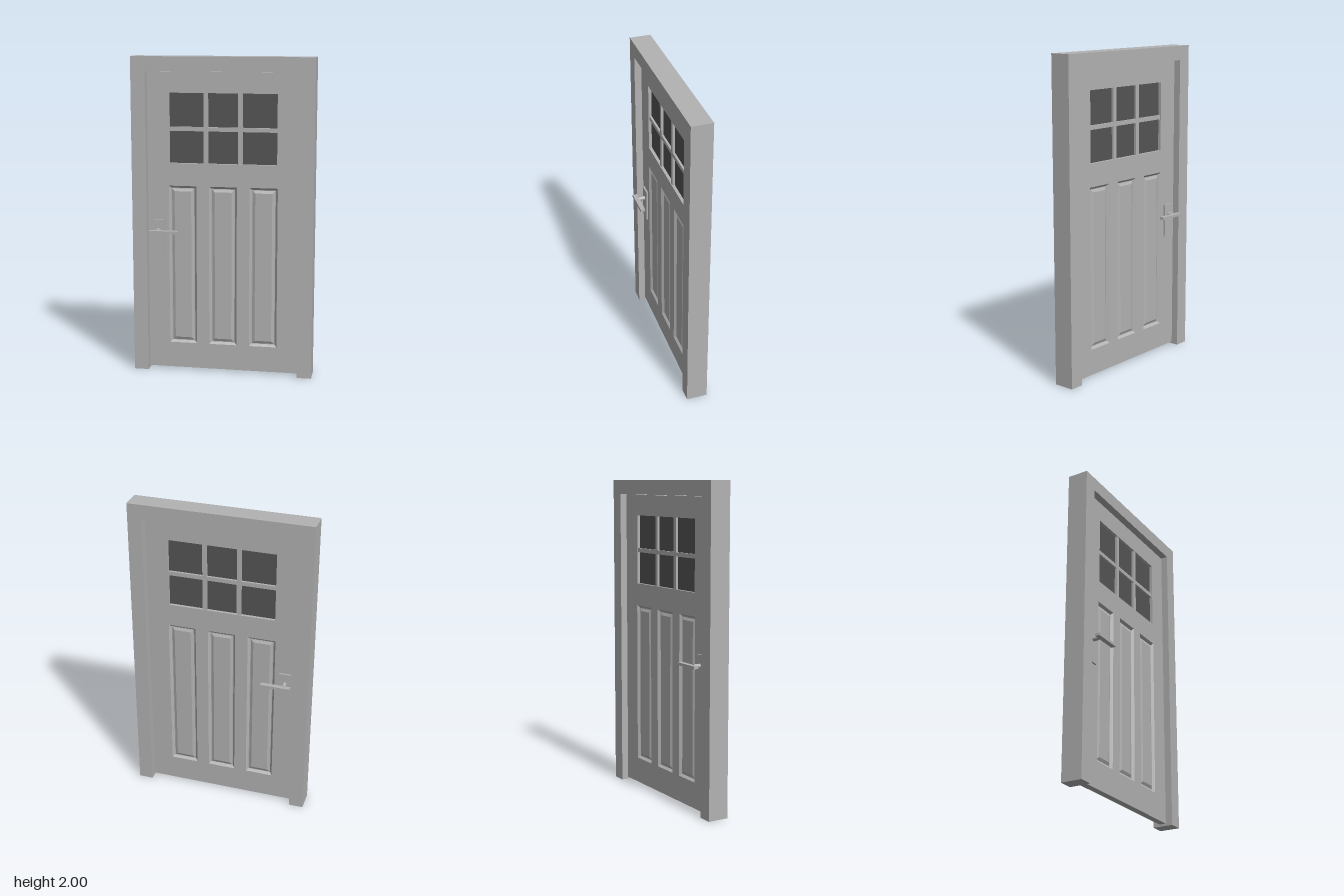
import * as THREE from 'three';

const mat = (name, color, extra = {}) => {
  const m = new THREE.MeshStandardMaterial({ color, ...extra });
  m.name = name;
  return m;
};

// Rectangle outline as a Shape or a Path (for holes)
function rect(x0, y0, x1, y1, Type = THREE.Path) {
  const p = new Type();
  p.moveTo(x0, y0).lineTo(x1, y0).lineTo(x1, y1).lineTo(x0, y1).closePath();
  return p;
}

// Extrusion centred on z = 0
function slab(shape, depth) {
  return new THREE.ExtrudeGeometry(shape, { depth, bevelEnabled: false }).translate(0, 0, -depth / 2);
}

// Moulded panel facing +z: nested rectangles [inset, z], closed by a flat field
function panelGeometry(w, h, steps) {
  const pos = [];
  const rings = steps.map(([i, z]) => {
    const x = w / 2 - i, y = h / 2 - i;
    return [[-x, -y, z], [x, -y, z], [x, y, z], [-x, y, z]];
  });
  const quad = (a, b, c, d) => pos.push(...a, ...b, ...c, ...a, ...c, ...d);
  for (let r = 0; r < rings.length - 1; r++) {
    for (let k = 0; k < 4; k++) {
      const n = (k + 1) % 4;
      quad(rings[r][k], rings[r][n], rings[r + 1][n], rings[r + 1][k]);
    }
  }
  quad(...rings[rings.length - 1]);
  const g = new THREE.BufferGeometry();
  g.setAttribute('position', new THREE.Float32BufferAttribute(pos, 3));
  g.computeVertexNormals();
  return g;
}

export function createModel() {
  const model = new THREE.Group();
  model.name = 'door';
  const paint = mat('grey paint', 0xb2b2b2);
  const dark = mat('dark glass', 0x555555);

  const add = (parent, name, geometry, material, x = 0, y = 0, z = 0) => {
    const m = new THREE.Mesh(geometry, material);
    m.name = name;
    m.position.set(x, y, z);
    parent.add(m);
    return m;
  };
  const box = (w, h, d) => new THREE.BoxGeometry(w, h, d);

  // Frame: two jambs and a head in one piece
  const W = 0.57, IN = 0.479, HEAD = 1.91, T = 0.045;
  const frame = new THREE.Shape([
    [-W, 0], [-IN, 0], [-IN, HEAD], [IN, HEAD], [IN, 0], [W, 0], [W, 2], [-W, 2],
  ].map(([x, y]) => new THREE.Vector2(x, y)));
  add(model, 'frame', slab(frame, 0.132), paint);

  // Door leaf with openings for the window and three panels
  const win = { x: 0.338, y0: 1.34, y1: 1.777 };
  const pw = 0.176, py0 = 0.178, py1 = 1.197;
  const panelX = [-0.256, 0, 0.256];
  const leaf = rect(-IN + 0.002, 0.014, IN - 0.002, HEAD - 0.003, THREE.Shape);
  leaf.holes.push(rect(-win.x, win.y0, win.x, win.y1));
  panelX.forEach(x => leaf.holes.push(rect(x - pw / 2, py0, x + pw / 2, py1)));
  add(model, 'doorLeaf', slab(leaf, T), paint);

  // Window: one pane crossed by glazing bars
  const winY = (win.y0 + win.y1) / 2, winH = win.y1 - win.y0;
  add(model, 'glass', box(win.x * 2, winH, 0.006), dark, 0, winY);
  for (const s of [-1, 1]) {
    add(model, 'verticalGlazingBar', box(0.027, winH, 0.036), paint, s * 0.108, winY);
  }
  add(model, 'horizontalGlazingBar', box(win.x * 2, 0.026, 0.034), paint, 0, 1.554);

  // Parts that repeat on both faces
  const panel = panelGeometry(pw, py1 - py0, [[0, T / 2], [0.014, 0.008], [0.018, 0.008], [0.035, 0.016]]);
  const stem = new THREE.CylinderGeometry(0.013, 0.013, 0.055, 16).rotateX(Math.PI / 2);
  for (const s of [1, -1]) {
    const side = new THREE.Group();
    side.name = s > 0 ? 'frontFace' : 'backFace';
    side.rotation.y = s > 0 ? 0 : Math.PI;
    panelX.forEach(x => add(side, 'panel', panel, paint, x, (py0 + py1) / 2));
    // Handle: back plate, stem and lever; both sit on the right edge of the leaf
    add(side, 'handlePlate', box(0.075, 0.216, 0.012), paint, -0.413 * s, 0.87, T / 2 + 0.005);
    add(side, 'handleStem', stem, paint, -0.413 * s, 0.912, 0.05);
    add(side, 'handleLever', box(0.187, 0.017, 0.03), paint, -0.366 * s, 0.912, 0.088);
    model.add(side);
  }
  return model;
}
